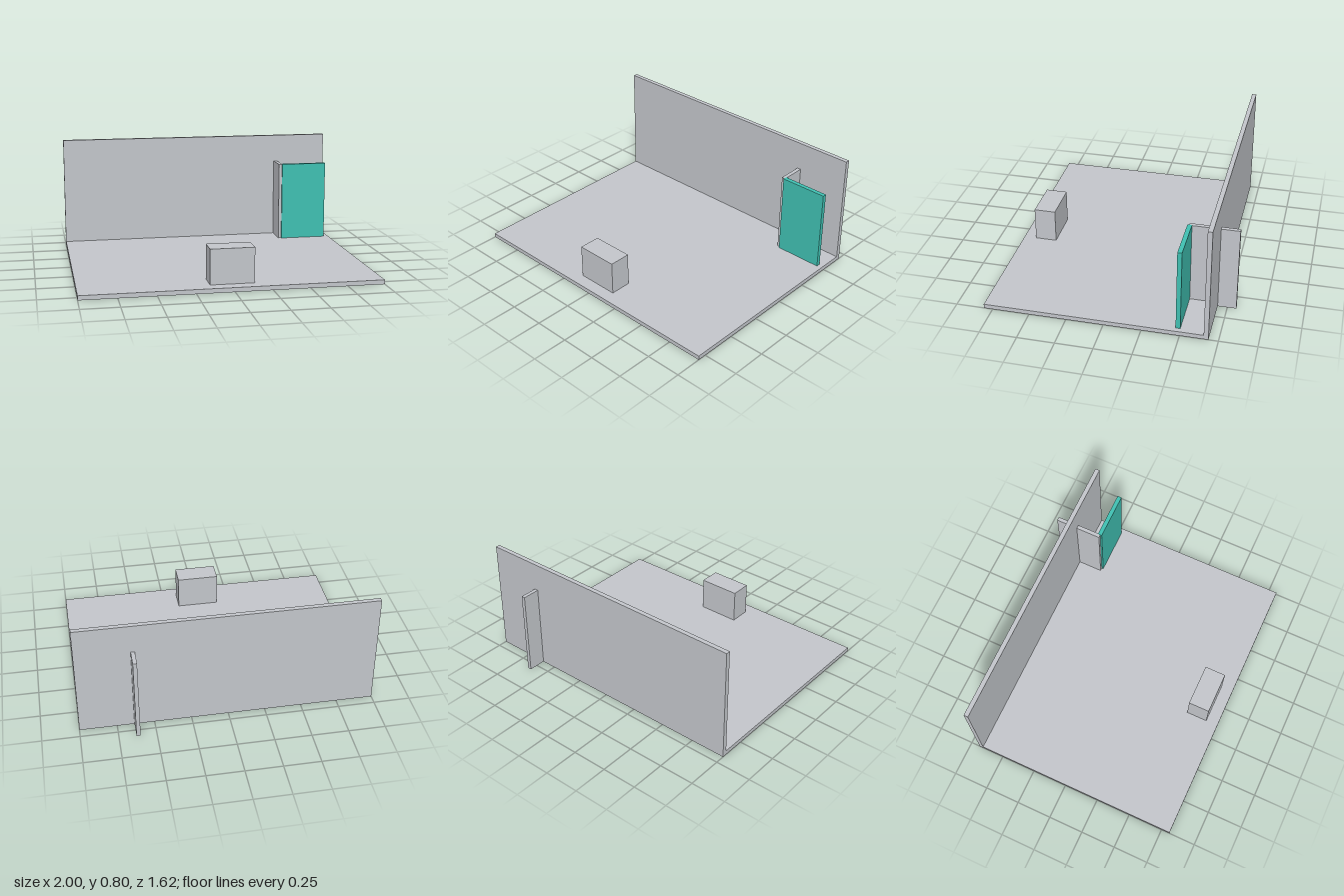
import * as THREE from 'three';

export function createModel() {
  const model = new THREE.Group();
  const grey = new THREE.MeshStandardMaterial({ name: 'light grey', color: 0xc3c6cb });
  const teal = new THREE.MeshStandardMaterial({ name: 'teal', color: 0x40c0b2 });

  // Box given by its extents along x, y and z
  function addBox(name, material, [x0, x1], [y0, y1], [z0, z1]) {
    const mesh = new THREE.Mesh(new THREE.BoxGeometry(x1 - x0, y1 - y0, z1 - z0), material);
    mesh.position.set((x0 + x1) / 2, (y0 + y1) / 2, (z0 + z1) / 2);
    mesh.name = name;
    model.add(mesh);
  }

  // Room shell
  addBox('floor', grey, [-1, 1], [0, 0.03], [-0.655, 0.81]);
  addBox('backWall', grey, [-1, 1], [0, 0.8], [-0.686, -0.655]);

  // Partition passing through the back wall, with a panel across its front
  addBox('partition', grey, [0.608, 0.635], [0.001, 0.6], [-0.81, -0.48]);
  addBox('frontPanel', teal, [0.63, 0.965], [0.005, 0.602], [-0.498, -0.468]);

  // Low block near the front edge
  addBox('block', grey, [-0.148, 0.148], [0.02, 0.267], [0.573, 0.723]);

  return model;
}
